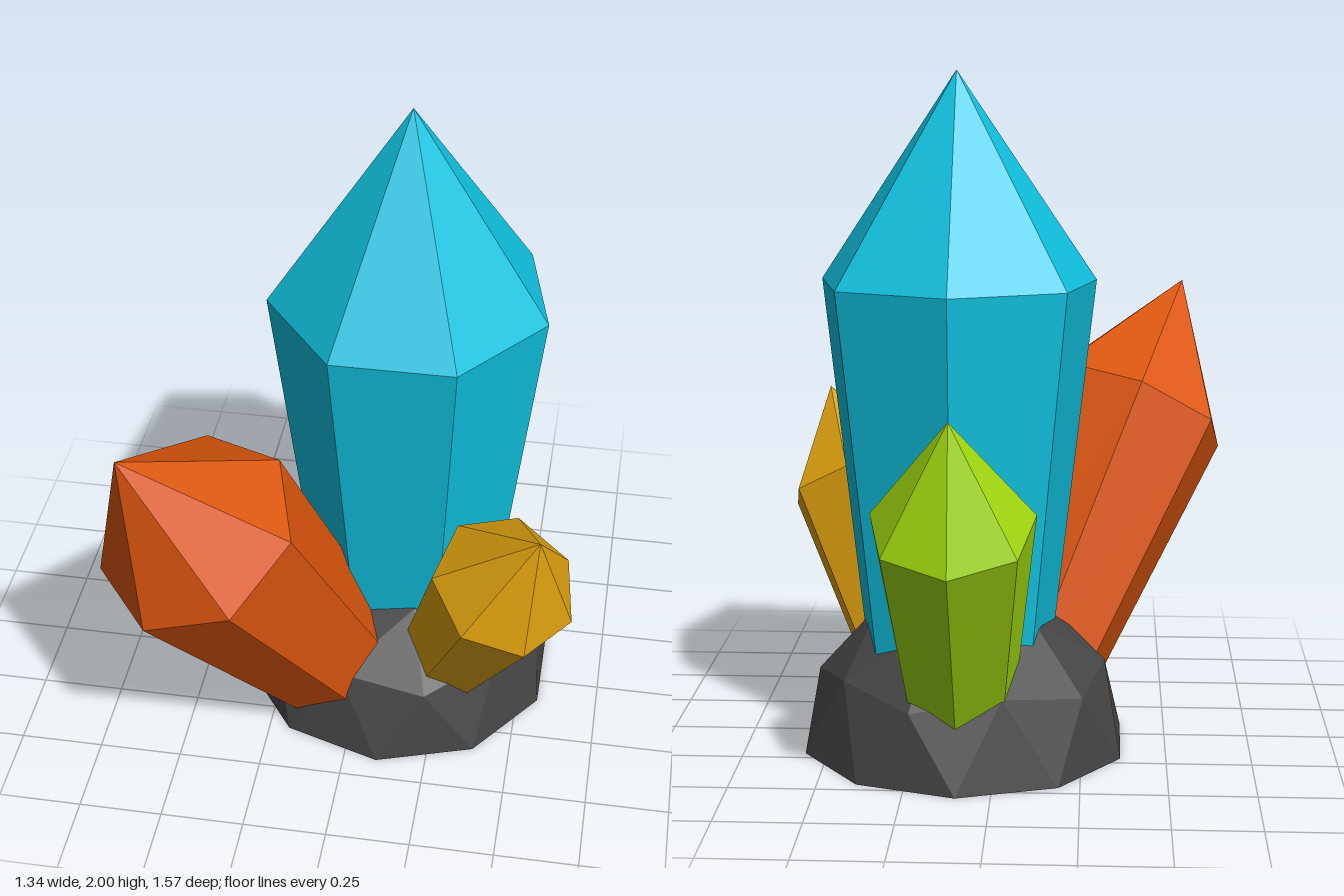
import * as THREE from 'three';
import { mergeGeometries } from 'three/addons/utils/BufferGeometryUtils.js';

const material = (name, color) =>
  new THREE.MeshStandardMaterial({ name, color, side: THREE.DoubleSide });

// Unshared vertices give every facet its own flat normal
function faceted(geometry) {
  const flat = geometry.index ? geometry.toNonIndexed() : geometry;
  flat.computeVertexNormals();
  return flat;
}

// Seven-sided crystal, widening to a shoulder and ending in a point at `tip`
function crystal(name, mat, tip, axis, radius) {
  const point = radius * 1.465, body = radius * (name === 'tallCrystal' ? 2.82 : 3.0);
  const cap = new THREE.ConeGeometry(radius, point, 7, 1, true, Math.PI);
  cap.translate(0, -point / 2, 0);
  const shaft = new THREE.CylinderGeometry(radius, radius * 0.67, body, 7, 1, true, Math.PI);
  shaft.translate(0, -point - body / 2, 0);
  const mesh = new THREE.Mesh(faceted(mergeGeometries([shaft, cap])), mat);
  mesh.name = name;
  mesh.position.set(...tip);
  mesh.quaternion.setFromUnitVectors(
    new THREE.Vector3(0, 1, 0), new THREE.Vector3(...axis).normalize());
  return mesh;
}

// Upper half of a faceted ball with a vertex at the pole, open underneath
function rockDome(radius) {
  const ball = new THREE.IcosahedronGeometry(radius, 1);
  ball.rotateX(-Math.atan((1 + Math.sqrt(5)) / 2));
  ball.rotateY(Math.PI / 2);
  const p = ball.attributes.position, kept = [];
  for (let i = 0; i < p.count; i += 3) {
    if (p.getY(i) + p.getY(i + 1) + p.getY(i + 2) < 0) continue;
    for (let j = i; j < i + 3; j++) kept.push(p.getX(j), p.getY(j), p.getZ(j));
  }
  const dome = new THREE.BufferGeometry();
  dome.setAttribute('position', new THREE.Float32BufferAttribute(kept, 3));
  return faceted(dome);
}

export function createModel() {
  const model = new THREE.Group();
  model.name = 'crystalCluster';

  const rock = new THREE.Mesh(rockDome(0.49), material('darkRock', 0x454545));
  rock.name = 'rockBase';
  rock.position.set(0.1, 0, -0.062);
  model.add(rock);

  model.add(
    crystal('tallCrystal', material('cyan', 0x10c2e0), [0.12, 2, -0.06], [0, 1, 0.02], 0.415),
    crystal('rightCrystal', material('orange', 0xdc560e), [-0.56, 1.3, 0.71], [-0.35, 0.835, 0.42], 0.312),
    crystal('leftCrystal', material('gold', 0xe0a310), [0.565, 0.98, 0.485], [0.315, 0.86, 0.405], 0.22),
    crystal('backCrystal', material('lime', 0xa4dc10), [0.102, 1.107, -0.713], [0, 0.915, -0.405], 0.236),
  );
  return model;
}
